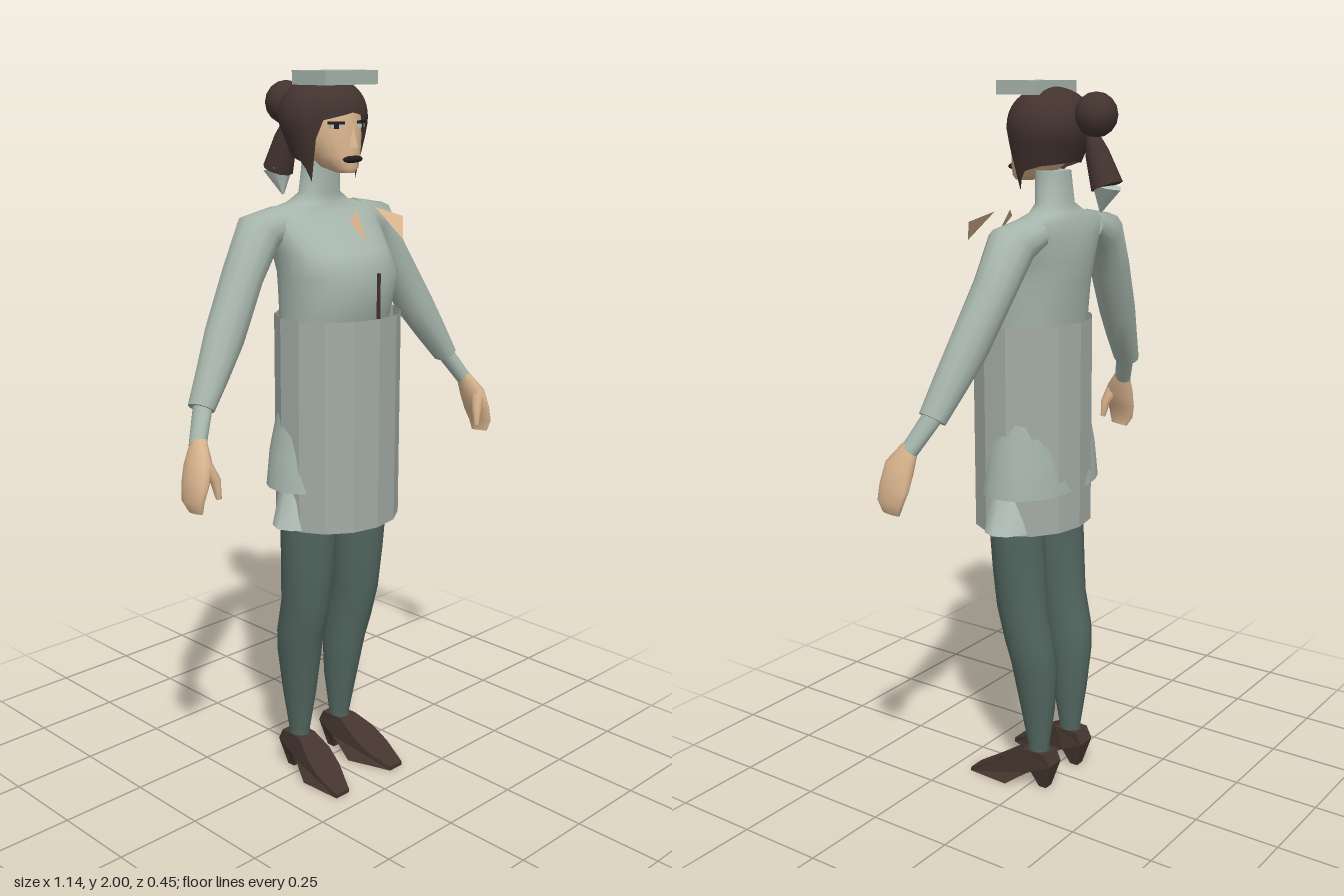
import * as THREE from 'three';

const mat = (name, color, side = THREE.FrontSide) => {
  const m = new THREE.MeshStandardMaterial({ color, side });
  m.name = name;
  return m;
};

export function createModel() {
  const model = new THREE.Group();
  model.name = 'woman';
  const D = THREE.DoubleSide;
  const jacket = mat('jacket grey', 0xa6b5ac, D);
  const skirt = mat('skirt grey', 0xa4aca6, D);
  const pale = mat('pale cloth', 0xb6c4bc, D);
  const tights = mat('tights green', 0x52665f);
  const hair = mat('hair brown', 0x43332f, D);
  const shoe = mat('shoe brown', 0x45352f);
  const skin = mat('skin', 0xd9b48e, D);
  const dark = mat('dark features', 0x251d1c);

  const add = (name, geo, material, parent = model) => {
    const m = new THREE.Mesh(geo, material);
    m.name = name;
    parent.add(m);
    return m;
  };

  // Linear lookup in a list of [key, value] pairs
  const lookup = (table, k) => {
    for (let i = 1; i < table.length; i++) {
      if (k <= table[i][0]) {
        const [a, b] = [table[i - 1], table[i]];
        return THREE.MathUtils.mapLinear(Math.max(k, a[0]), a[0], b[0], a[1], b[1]);
      }
    }
    return table[table.length - 1][1];
  };

  // Skin a list of point rings, with optional flat end caps
  const loft = (rings, capStart = true, capEnd = true) => {
    const n = rings[0].length, pos = [], idx = [];
    rings.forEach((r) => r.forEach((p) => pos.push(p.x, p.y, p.z)));
    for (let i = 0; i < rings.length - 1; i++) {
      for (let j = 0; j < n; j++) {
        const a = i * n + j, b = i * n + ((j + 1) % n);
        idx.push(a, b, b + n, a, b + n, a + n);
      }
    }
    const cap = (ring, flip) => {
      const base = pos.length / 3;
      const c = ring.reduce((s, p) => s.add(p), new THREE.Vector3()).divideScalar(n);
      [...ring, c].forEach((p) => pos.push(p.x, p.y, p.z));
      for (let j = 0; j < n; j++) {
        const a = base + j, b = base + ((j + 1) % n);
        if (flip) idx.push(b, a, base + n); else idx.push(a, b, base + n);
      }
    };
    if (capStart) cap(rings[0], true);
    if (capEnd) cap(rings[rings.length - 1], false);
    const g = new THREE.BufferGeometry();
    g.setAttribute('position', new THREE.Float32BufferAttribute(pos, 3));
    g.setIndex(idx);
    g.computeVertexNormals();
    return g;
  };

  // Level rings going up: [y, half width, front z, back z, centre x]
  const level = (secs, n = 20, power = 1) => secs.map(([y, rx, zf, zb, cx = 0]) =>
    Array.from({ length: n }, (_, j) => {
      const t = (j / n) * Math.PI * 2, c = Math.cos(t), s = Math.sin(t);
      const f = (v) => Math.sign(v) * Math.abs(v) ** power;
      return new THREE.Vector3(cx + rx * f(s), y, (zf + zb) / 2 + ((zf - zb) / 2) * f(c));
    }));

  // Rings square to a path: [x, y, z, radius along z, radius across], side mirrors x
  const limb = (secs, side, n = 12) => {
    const pts = secs.map(([x, y, z]) => new THREE.Vector3(x * side, y, z));
    return loft(pts.map((p, i) => {
      const T = pts[Math.min(i + 1, pts.length - 1)].clone().sub(pts[Math.max(i - 1, 0)]).normalize();
      const U = new THREE.Vector3(0, 0, 1).addScaledVector(T, -T.z).normalize();
      const V = T.clone().cross(U);
      return Array.from({ length: n }, (_, j) => {
        const t = (j / n) * Math.PI * 2;
        return p.clone().addScaledVector(U, secs[i][3] * Math.cos(t)).addScaledVector(V, secs[i][4] * Math.sin(t));
      });
    }));
  };

  // Jacket body with flared hem and high collar
  add('jacketBody', loft(level([
    [0.9, 0.208, 0.155, -0.1], [1.0, 0.198, 0.14, -0.09], [1.12, 0.17, 0.13, -0.075],
    [1.25, 0.155, 0.14, -0.07], [1.37, 0.165, 0.168, -0.082], [1.48, 0.168, 0.2, -0.096],
    [1.54, 0.173, 0.15, -0.102], [1.6, 0.19, 0.085, -0.1], [1.64, 0.2, 0.04, -0.09],
    [1.662, 0.1, 0.03, -0.08], [1.685, 0.062, 0.026, -0.064], [1.77, 0.055, 0.03, -0.055],
  ], 24, 0.9), false, true), jacket);

  // Faceted tube skirt
  const tube = new THREE.CylinderGeometry(1, 1, 0.58, 14, 1, true).toNonIndexed();
  tube.scale(0.185, 1, 0.157).translate(0, 1.08, 0.053);
  tube.computeVertexNormals();
  add('tubeSkirt', tube, skirt);

  // Pale underskirt showing at the hips
  add('underskirt', loft(level([
    [0.795, 0.217, 0.14, -0.06], [0.85, 0.2, 0.14, -0.06], [0.94, 0.18, 0.13, -0.05],
  ], 16), true, true), pale);

  // Floating lapels and front seam
  for (const s of [-1, 1]) {
    const lapel = new THREE.BufferGeometry().setFromPoints([
      new THREE.Vector3(s * 0.035, 1.655, 0.155),
      new THREE.Vector3(s * 0.1, 1.63, 0.195),
      new THREE.Vector3(s * 0.067, 1.575, 0.225),
    ]);
    if (s > 0) lapel.setIndex([0, 2, 1]); else lapel.setIndex([0, 1, 2]);
    lapel.computeVertexNormals();
    add('lapel', lapel, skin);
  }
  add('frontSeam', new THREE.BoxGeometry(0.006, 0.12, 0.008).translate(0, 1.43, 0.204), shoe);

  const shoeWidth = [[-0.08, 0.058], [0, 0.07], [0.07, 0.108], [0.12, 0.1], [0.19, 0.05]];
  for (const s of [-1, 1]) {
    const arm = new THREE.Group();
    arm.name = s > 0 ? 'leftArm' : 'rightArm';
    model.add(arm);
    add('sleeve', limb([
      [0.13, 1.615, -0.03, 0.06, 0.045], [0.212, 1.592, -0.028, 0.067, 0.062],
      [0.275, 1.49, -0.02, 0.058, 0.055], [0.36, 1.345, 0.003, 0.052, 0.055],
      [0.415, 1.26, 0.02, 0.046, 0.044], [0.468, 1.18, 0.035, 0.04, 0.031],
    ], s), jacket, arm);
    add('wrist', limb([[0.455, 1.2, 0.03, 0.028, 0.024], [0.515, 1.1, 0.075, 0.025, 0.02]], s), jacket, arm);
    add('hand', limb([
      [0.51, 1.112, 0.073, 0.024, 0.018], [0.53, 1.06, 0.094, 0.044, 0.028],
      [0.546, 1.01, 0.1, 0.048, 0.02], [0.558, 0.97, 0.105, 0.042, 0.014],
      [0.552, 0.94, 0.108, 0.028, 0.006],
    ], s), skin, arm);
    add('thumb', limb([
      [0.527, 1.065, 0.115, 0.022, 0.018], [0.507, 1.02, 0.132, 0.016, 0.013], [0.502, 0.972, 0.138, 0.008, 0.007],
    ], s, 8), skin, arm);

    // Legs in tights
    add('leg', loft(level([
      [0.09, 0.029, 0.016, -0.056, s * 0.083], [0.13, 0.029, 0.013, -0.053, s * 0.082],
      [0.25, 0.046, 0.036, -0.07, s * 0.084], [0.38, 0.058, 0.06, -0.081, s * 0.09],
      [0.45, 0.061, 0.077, -0.074, s * 0.097], [0.55, 0.064, 0.102, -0.052, s * 0.098],
      [0.66, 0.074, 0.112, -0.044, s * 0.098], [0.79, 0.083, 0.117, -0.035, s * 0.099],
      [0.92, 0.086, 0.115, -0.035, s * 0.099],
    ], 14)), tights);

    // High-heeled shoe: side profile with a width rule
    const profile = new THREE.Shape([
      [0.19, 0], [0.19, 0.012], [0.12, 0.05], [0.07, 0.083], [0.015, 0.115], [-0.06, 0.115], [-0.078, 0.08],
      [-0.055, 0], [-0.03, 0], [-0.015, 0.05], [0, 0.042], [0.06, 0],
    ].map(([z, y]) => new THREE.Vector2(z, y)));
    const g = new THREE.ExtrudeGeometry(profile, { depth: 1, bevelEnabled: false });
    g.translate(0, 0, -0.5).rotateY(-Math.PI / 2);
    const p = g.attributes.position;
    for (let i = 0; i < p.count; i++) {
      const y = p.getY(i), z = p.getZ(i);
      const w = z < -0.02 && y < 0.04 ? 0.028 : lookup(shoeWidth, z) * (1 - 1.8 * y * (z > 0.01 ? 1 : 0));
      p.setX(i, p.getX(i) * w + s * (0.083 + 0.15 * Math.max(z, 0)));
    }
    g.computeVertexNormals();
    add('shoe', g, shoe);
  }

  // Head
  const head = new THREE.Group();
  head.name = 'head';
  model.add(head);
  add('face', loft(level([
    [1.742, 0.022, 0.106, 0.05], [1.755, 0.042, 0.113, 0], [1.785, 0.066, 0.11, -0.04],
    [1.83, 0.086, 0.104, -0.07], [1.88, 0.094, 0.098, -0.085], [1.93, 0.088, 0.085, -0.08],
  ], 20)), skin, head);
  const nose = new THREE.ConeGeometry(0.018, 0.06, 4).toNonIndexed();
  nose.computeVertexNormals();
  add('nose', nose, skin, head).position.set(0, 1.836, 0.107);
  for (const s of [-1, 1]) {
    const eye = new THREE.Group();
    eye.name = 'eye';
    eye.position.set(s * 0.046, 1.862, 0.091);
    eye.rotation.y = s * 0.5;
    add('eyeWhite', new THREE.BoxGeometry(0.034, 0.012, 0.008), pale, eye);
    add('iris', new THREE.BoxGeometry(0.013, 0.013, 0.0095), dark, eye);
    add('lashes', new THREE.BoxGeometry(0.044, 0.007, 0.0095).translate(0, 0.008, 0), dark, eye);
    head.add(eye);
  }
  add('mouth', new THREE.SphereGeometry(1, 12, 6).scale(0.036, 0.01, 0.012), dark, head).position.set(0, 1.777, 0.106);

  // Bobbed hair: the lower edge follows fringe, side locks and nape
  const hem = [[0, 1.895], [46, 1.875], [60, 1.72], [75, 1.77], [110, 1.785], [180, 1.795]];
  const rows = 14, cols = 36, hairRings = [];
  for (let i = 0; i <= rows; i++) {
    hairRings.push(Array.from({ length: cols }, (_, j) => {
      const t = (j / cols) * Math.PI * 2, c = Math.cos(t);
      const low = lookup(hem, THREE.MathUtils.radToDeg(Math.acos(THREE.MathUtils.clamp(c, -1, 1))));
      const y = low + (1.985 - low) * Math.sin((i / rows) * Math.PI / 2);
      const r = y > 1.87
        ? Math.sqrt(Math.max(0, 1 - ((y - 1.87) / 0.115) ** 2.6))
        : 1 - (1.87 - y) * (1 + 1.5 * (1 - c));
      return new THREE.Vector3(0.126 * r * Math.sin(t), y, -0.005 + 0.111 * r * c);
    }));
  }
  add('hair', loft(hairRings, false, false), hair, head);
  add('bun', new THREE.SphereGeometry(0.058, 12, 8).scale(1.05, 1, 0.95), hair, head).position.set(0, 1.915, -0.147);

  // Ponytail below the bun, with a pale tip
  const tail = [[0, 1.875, -0.13, 0.015, 0.016], [0, 1.82, -0.15, 0.03, 0.034], [0, 1.735, -0.182, 0.043, 0.042]];
  add('ponytail', limb(tail, 1, 10), hair, head);
  add('ponytailTip', limb([[0, 1.737, -0.181, 0.043, 0.042], [0, 1.668, -0.163, 0.003, 0.003]], 1, 6), pale, head);

  // Flat cap block
  add('cap', new THREE.BoxGeometry(0.19, 0.036, 0.125).translate(0, 1.982, 0.04), jacket, head);
  return model;
}
